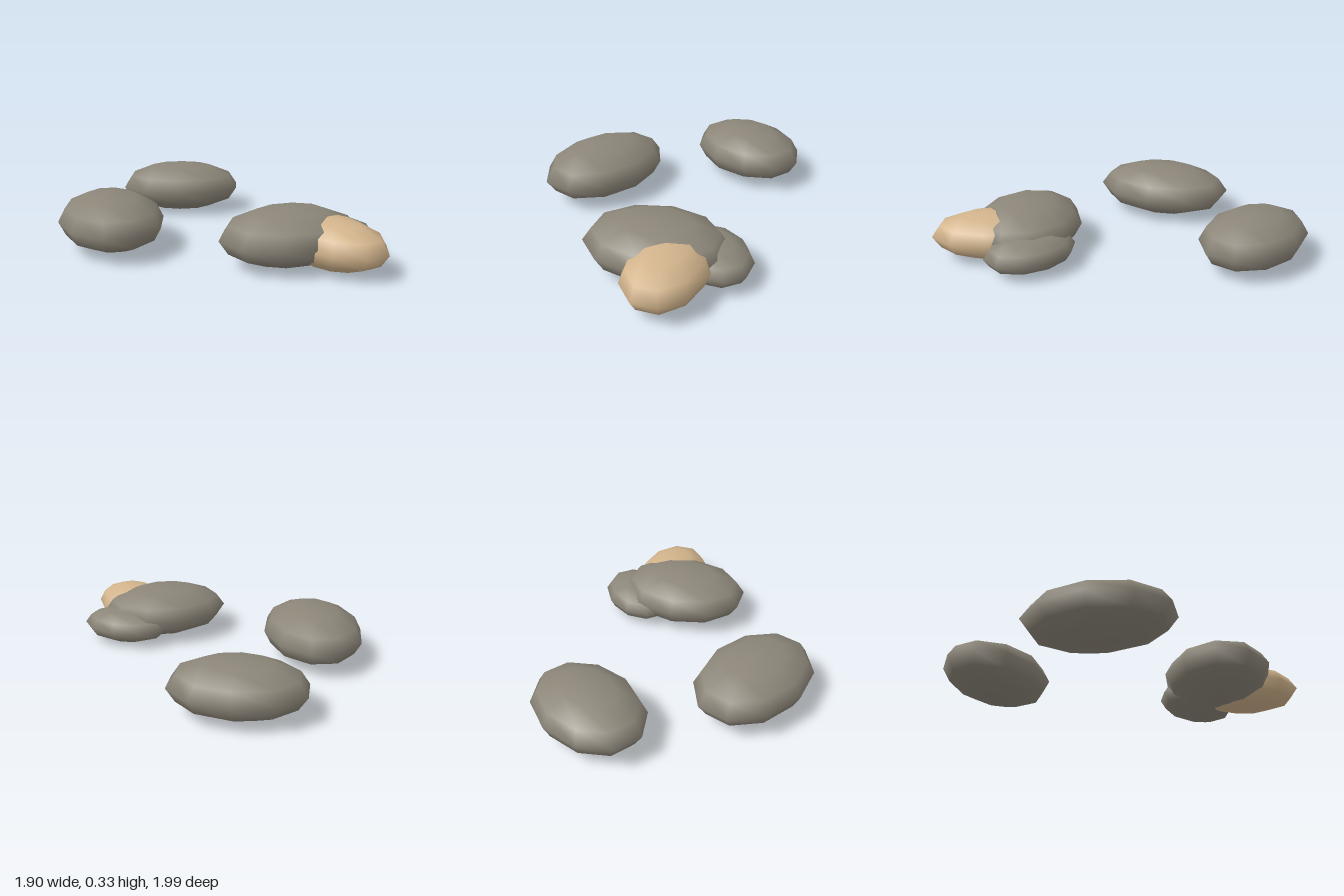
import * as THREE from 'three';

// A faceted-outline, smooth-shaded pebble: a unit sphere stretched along
// two ground directions u and v, given as [x, z] pairs, and a half height.
function makeStone(name, material, [cx, cz], [ux, uz], [vx, vz], halfHeight) {
  const geometry = new THREE.SphereGeometry(1, 10, 6);
  // keep the basis right-handed so the faces stay outward
  const s = ux * vz - uz * vx > 0 ? 1 : -1;
  const basis = new THREE.Matrix4().makeBasis(
    new THREE.Vector3(ux, 0, uz),
    new THREE.Vector3(0, halfHeight, 0),
    new THREE.Vector3(vx * s, 0, vz * s)
  );
  geometry.applyMatrix4(basis);
  const mesh = new THREE.Mesh(geometry, material);
  mesh.name = name;
  mesh.position.set(cx, halfHeight, cz);
  return mesh;
}

export function createModel() {
  const grey = new THREE.MeshStandardMaterial({ color: 0x8c8679 });
  grey.name = 'warm grey stone';
  const tan = new THREE.MeshStandardMaterial({ color: 0xd2b48c });
  tan.name = 'tan stone';

  const group = new THREE.Group();
  group.name = 'stones';
  group.add(
    // two separate stones
    makeStone('backStone', grey, [-0.265, -0.695], [0, 0.305], [0.417, 0], 0.165),
    makeStone('rightStone', grey, [-0.637, 0.26], [0.01, 0.45], [0.331, 0.066], 0.167),
    // cluster of three overlapping stones
    makeStone('largeClusterStone', grey, [0.423, 0.565], [0.403, -0.145], [-0.076, -0.342], 0.163),
    makeStone('smallClusterStone', grey, [0.645, 0.335], [0.295, -0.005], [-0.047, -0.226], 0.11),
    makeStone('tanClusterStone', tan, [0.65, 0.645], [-0.03, 0.295], [0.305, 0.176], 0.145)
  );
  return group;
}
